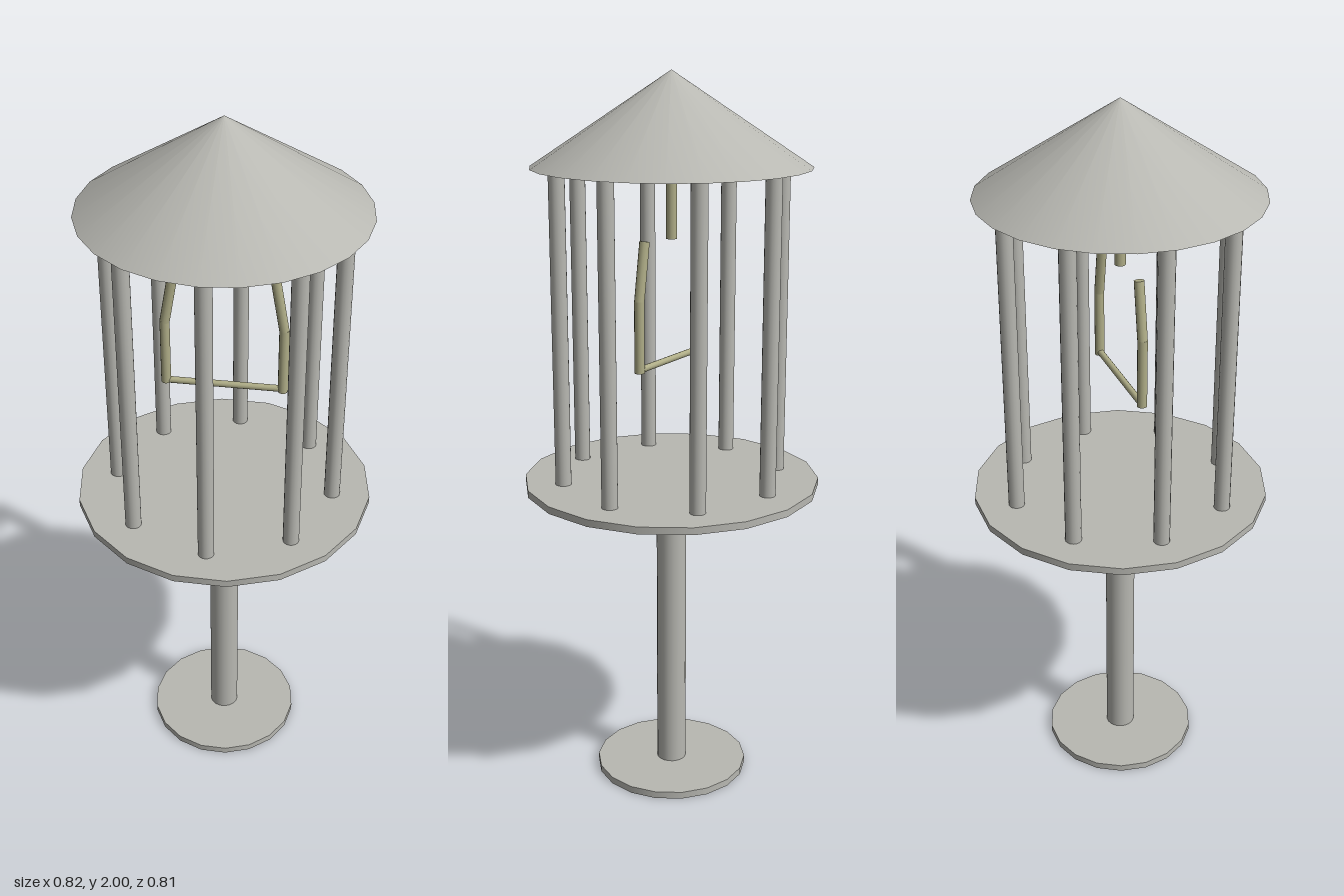
import * as THREE from 'three';

export function createModel() {
  const model = new THREE.Group();
  model.name = 'birdCage';

  const metal = new THREE.MeshStandardMaterial({ color: 0xb8b8b2 });
  metal.name = 'pale grey metal';
  const brass = new THREE.MeshStandardMaterial({ color: 0xb0ae88 });
  brass.name = 'dull brass';

  // Upright cylinder standing from y0 to y1, with a corner on the x axis
  function upright(name, radius, y0, y1, sides, material, x = 0, z = 0) {
    const geometry = new THREE.CylinderGeometry(radius, radius, y1 - y0, sides);
    geometry.rotateY(Math.PI / 2);
    const mesh = new THREE.Mesh(geometry, material);
    mesh.position.set(x, (y0 + y1) / 2, z);
    mesh.name = name;
    model.add(mesh);
    return mesh;
  }

  // Straight rod between two points
  function rod(name, a, b, radius, parent) {
    const from = new THREE.Vector3(...a);
    const to = new THREE.Vector3(...b);
    const dir = to.clone().sub(from);
    const mesh = new THREE.Mesh(
      new THREE.CylinderGeometry(radius, radius, dir.length(), 12), brass);
    mesh.position.copy(from).add(to).multiplyScalar(0.5);
    mesh.quaternion.setFromUnitVectors(new THREE.Vector3(0, 1, 0), dir.normalize());
    mesh.name = name;
    parent.add(mesh);
  }

  // Stand
  upright('foot', 0.217, 0, 0.02, 18, metal);
  upright('post', 0.042, 0.02, 0.878, 18, metal);
  upright('cageFloor', 0.41, 0.878, 0.898, 18, metal);

  // Ring of eight cage bars
  for (let i = 0; i < 8; i++) {
    const a = (i * Math.PI) / 4;
    upright('cageBar', 0.022, 0.898, 1.756, 16, metal,
      0.305 * Math.cos(a), 0.305 * Math.sin(a));
  }

  // Conical roof
  const roof = new THREE.Mesh(new THREE.ConeGeometry(0.374, 0.246, 24), metal);
  roof.position.y = 1.877;
  roof.name = 'roof';
  model.add(roof);

  // Perch swing: hanger, bent side arms and cross bar
  const swing = new THREE.Group();
  swing.name = 'perchSwing';
  model.add(swing);
  rod('hanger', [0, 1.565, 0], [0, 1.77, 0], 0.015, swing);
  rod('perch', [-0.16, 1.235, 0], [0.16, 1.238, 0], 0.009, swing);
  for (const s of [-1, 1]) {
    rod('lowerArm', [s * 0.158, 1.23, 0], [s * 0.158, 1.422, 0], 0.0135, swing);
    rod('upperArm', [s * 0.158, 1.418, 0], [s * 0.131, 1.575, 0], 0.0135, swing);
  }

  return model;
}
